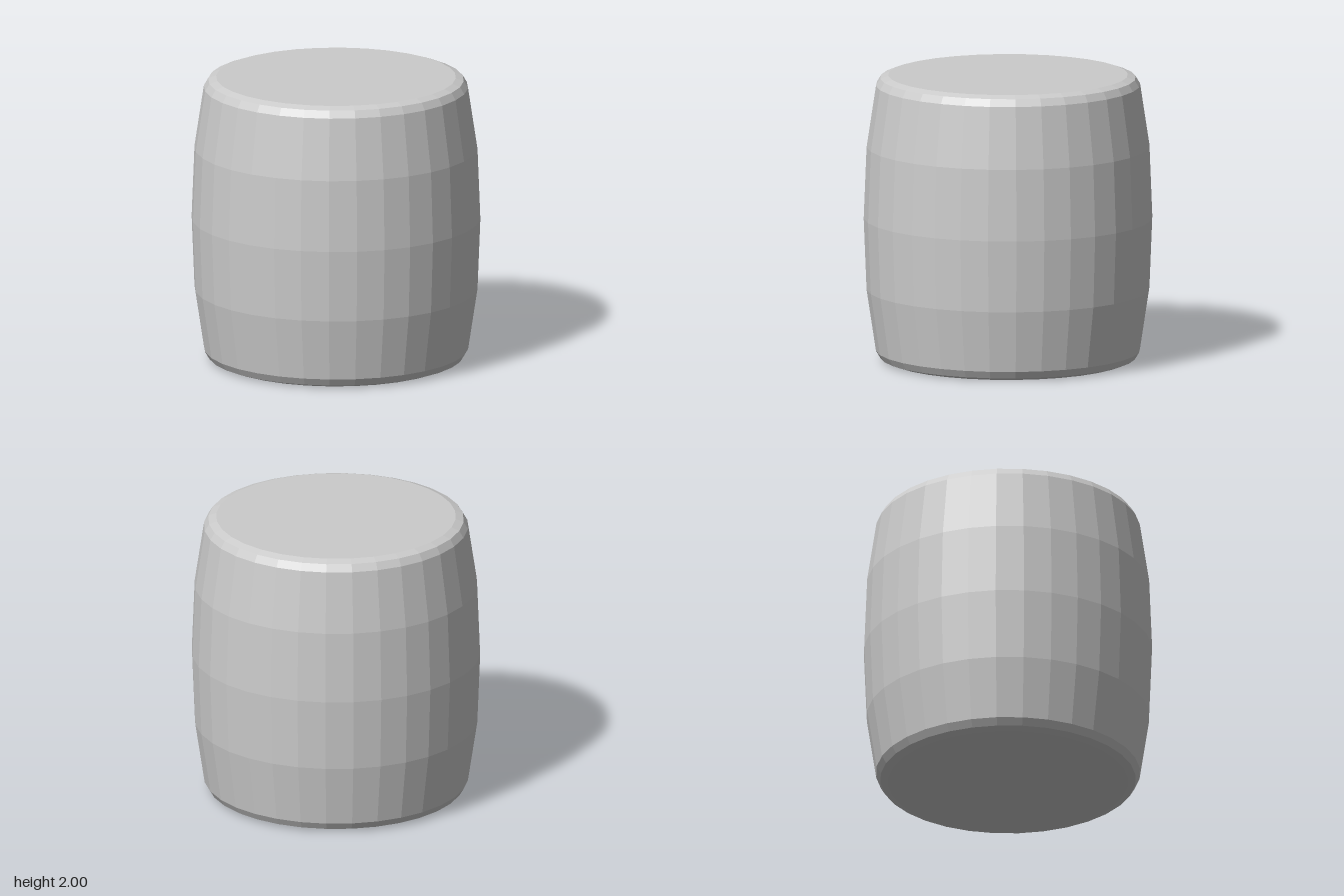
import * as THREE from 'three';

export function createModel() {
  const group = new THREE.Group();
  group.name = 'barrel';
  const material = new THREE.MeshStandardMaterial({ color: 0xcccccc, flatShading: true });

  // Half profile [radius, height above the middle], from the belly to the lid centre
  const half = [[1, 0], [0.98, 0.5], [0.915, 0.93], [0.885, 0.98], [0.83, 1], [0, 1]];
  const upper = half.map(([r, h]) => new THREE.Vector2(r, 1 + h));
  const lower = half.slice(1).reverse().map(([r, h]) => new THREE.Vector2(r, 1 - h));

  // Bulging body with bevelled rims and flat ends, 32 sides
  const body = new THREE.Mesh(new THREE.LatheGeometry([...lower, ...upper], 32), material);
  body.name = 'barrelBody';
  group.add(body);
  return group;
}
